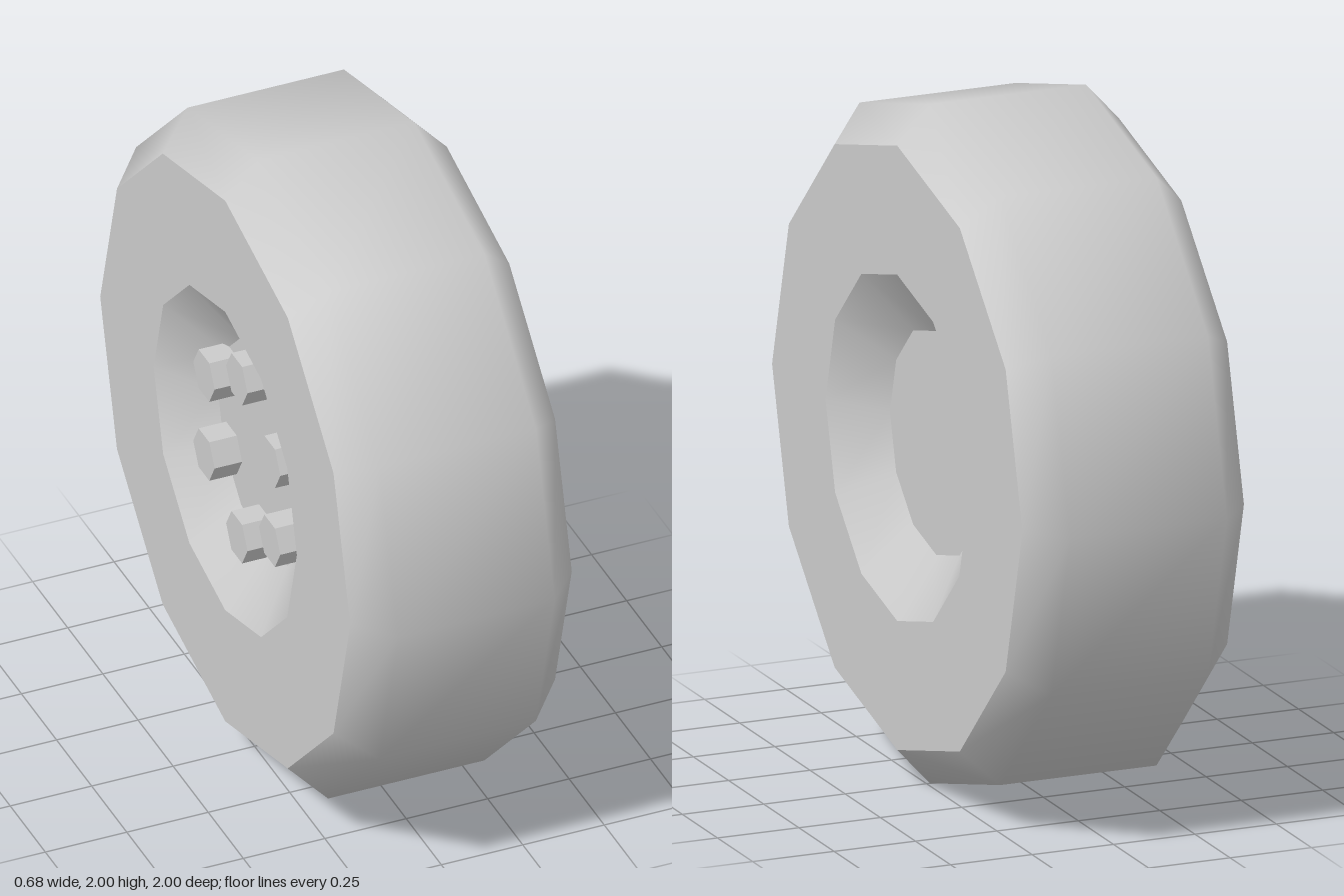
import * as THREE from 'three';

const SIDES = 12;
const material = new THREE.MeshStandardMaterial({ color: 0xcccccc });
const boltMaterial = new THREE.MeshStandardMaterial({ color: 0xcccccc, flatShading: true });

// Revolves a [radius, offset] profile around the axle (x axis)
function revolve(name, profile) {
  const points = profile.map(([r, h]) => new THREE.Vector2(r, h));
  const geometry = new THREE.LatheGeometry(points, SIDES).rotateZ(Math.PI / 2);
  const mesh = new THREE.Mesh(geometry, material);
  mesh.name = name;
  return mesh;
}

export function createModel() {
  const model = new THREE.Group();
  model.name = 'wheel';

  // Tread with bevelled shoulders, smooth shaded
  const wheel = new THREE.Group();
  wheel.name = 'tire';
  wheel.add(revolve('tread', [[0.89, -0.34], [1, -0.24], [1, 0.24], [0.89, 0.34]]));

  // Flat sidewall, sloping dish and flat hub on each side
  const half = [
    ['sidewall', [[0.89, 0.34], [0.51, 0.34]]],
    ['dish', [[0.51, 0.34], [0.33, 0.22]]],
    ['hub', [[0.33, 0.22], [0, 0.22]]],
  ];
  for (const [name, profile] of half) {
    wheel.add(revolve(name + 'Right', profile));
    const mirrored = profile.map(([r, h]) => [r, -h]).reverse();
    wheel.add(revolve(name + 'Left', mirrored));
  }
  model.add(wheel);

  // Ring of hexagonal wheel nuts on the outer side
  const nuts = new THREE.Group();
  nuts.name = 'wheelNuts';
  const nutGeometry = new THREE.CylinderGeometry(0.076, 0.076, 0.085, 6).rotateZ(Math.PI / 2);
  for (let i = 0; i < 6; i++) {
    const angle = (i / 6) * Math.PI * 2;
    const nut = new THREE.Mesh(nutGeometry, boltMaterial);
    nut.name = 'wheelNut';
    nut.position.set(-0.262, 0.27 * Math.cos(angle), 0.27 * Math.sin(angle));
    nuts.add(nut);
  }
  model.add(nuts);

  for (const part of model.children) part.position.y = 1;
  return model;
}
